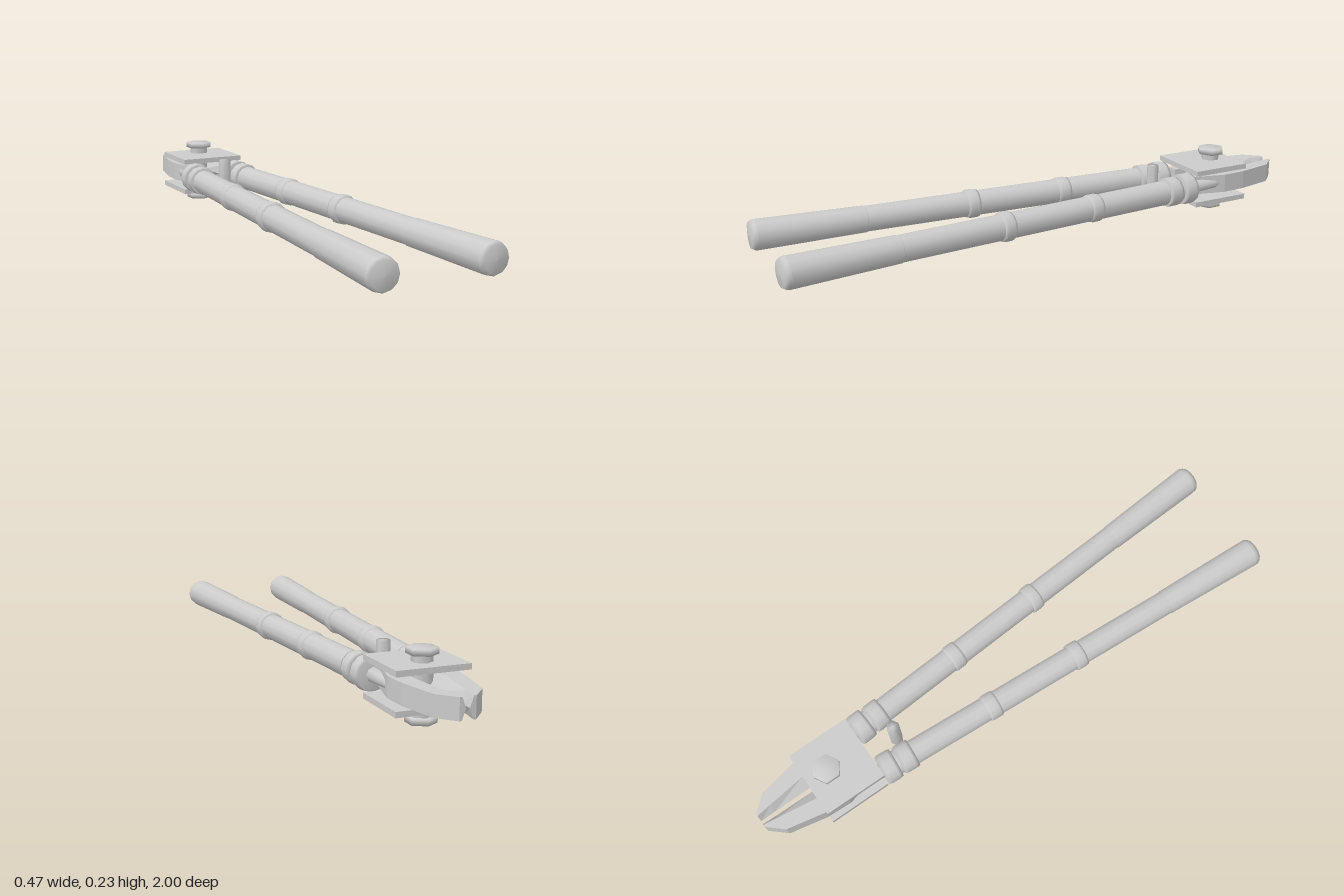
import * as THREE from 'three';

const MID = 0.116; // height of the tool's centre plane

export function createModel() {
  const model = new THREE.Group();
  model.name = 'boltCutter';
  const smooth = new THREE.MeshStandardMaterial({ color: 0xcccccc });
  const flat = new THREE.MeshStandardMaterial({ color: 0xcccccc, flatShading: true });

  function add(parent, name, geometry, material = smooth) {
    const mesh = new THREE.Mesh(geometry, material);
    mesh.name = name;
    parent.add(mesh);
    return mesh;
  }
  // Profile pairs are [radius, position along the axis]
  const turned = (profile, sides) =>
    new THREE.LatheGeometry(profile.map(([r, y]) => new THREE.Vector2(r, y)), sides);
  const alongZ = (profile, sides = 12) => turned(profile, sides).rotateX(Math.PI / 2);
  const band = (z0, z1, r, core) => {
    const e = (z1 - z0) * 0.2;
    return [[core, z0], [r - 0.003, z0], [r, z0 + e], [r, z1 - e], [r - 0.003, z1], [core, z1]];
  };

  // Jaw: five-sided sections [z, outer x, bevel x, cutting edge x] joined in order
  function jawGeometry(side) {
    const h = 0.034;
    const sections = [
      [-0.59, 0.075, 0.035, 0.03],
      [-0.72, 0.108, 0.05, 0.02],
      [-0.81, 0.104, 0.045, 0.008],
      [-0.945, 0.076, 0.026, 0.007],
      [-1.0, 0.026, 0.018, 0.006],
    ];
    const rings = sections.map(([z, outer, bevel, edge]) => {
      const ring = [[outer, h], [bevel, h], [edge, 0], [bevel, -h], [outer, -h]]
        .map(([x, y]) => [x * side, y + MID, z]);
      return side > 0 ? ring : ring.reverse();
    });
    const out = [];
    const tri = (a, b, c) => out.push(...a, ...b, ...c);
    for (let i = 0; i < rings.length - 1; i++) {
      for (let j = 0; j < 5; j++) {
        const k = (j + 1) % 5;
        const [p, q] = [rings[i], rings[i + 1]];
        tri(p[j], q[k], p[k]);
        tri(p[j], q[j], q[k]);
      }
    }
    const first = rings[0], last = rings[rings.length - 1];
    for (let j = 1; j < 4; j++) {
      tri(first[0], first[j], first[j + 1]);
      tri(last[0], last[j + 1], last[j]);
    }
    const geometry = new THREE.BufferGeometry();
    geometry.setAttribute('position', new THREE.Float32BufferAttribute(out, 3));
    geometry.computeVertexNormals();
    return geometry;
  }

  for (const side of [1, -1]) {
    const label = side > 0 ? 'left' : 'right';

    // Handle, splayed outwards towards the grip
    const handle = new THREE.Group();
    handle.name = label + 'Handle';
    handle.position.set(0.122 * side, MID, 0);
    handle.rotation.y = Math.atan(0.064) * side;
    model.add(handle);
    add(handle, 'shaft', alongZ([[0.045, -0.54], [0.045, 0.62]]));
    add(handle, 'grip', alongZ([[0.044, 0.605], [0.047, 0.61], [0.053, 0.975]]));
    add(handle, 'endCap', alongZ([[0.053, 0.975], [0.052, 0.985], [0.045, 0.997], [0, 1.0]]));
    const bands = [
      ['upperRing', -0.16, -0.112, 0.05],
      ['lowerRing', 0.198, 0.242, 0.052],
      ['outerCollar', -0.51, -0.453, 0.054],
      ['innerCollar', -0.577, -0.52, 0.057],
    ];
    for (const [name, z0, z1, r] of bands) {
      add(handle, name, alongZ(band(z0, z1, r, name.endsWith('Collar') ? 0 : 0.04)));
    }

    // Tang joining the handle to the jaw
    const tang = add(model, label + 'Tang',
      alongZ([[0, -0.09], [0.018, -0.09], [0.026, 0.05], [0, 0.05]], 8));
    tang.position.set(0.085 * side, MID, -0.61);

    add(model, label + 'Jaw', jawGeometry(side), flat);
  }

  // Cover plates above and below the jaws
  for (const [name, y] of [['topPlate', 0.176], ['bottomPlate', 0.056]]) {
    add(model, name, new THREE.BoxGeometry(0.244, 0.019, 0.225)).position.set(0, y, -0.693);
  }

  // Pivot bolt with hexagonal heads
  const bolt = new THREE.Group();
  bolt.name = 'pivotBolt';
  bolt.position.z = -0.727;
  model.add(bolt);
  add(bolt, 'boltShaft', turned([[0.034, 0.015], [0.034, 0.215]], 6));
  for (const [name, y] of [['bottomHead', 0], ['topHead', 0.209]]) {
    add(bolt, name, turned([[0, y], [0.05, y], [0.05, y + 0.02], [0, y + 0.02]], 6));
  }

  // Stop pin between the handles
  const pin = add(model, 'stopPin',
    turned([[0, 0.037], [0.023, 0.037], [0.023, 0.195], [0, 0.195]], 6));
  pin.position.z = -0.464;

  return model;
}
